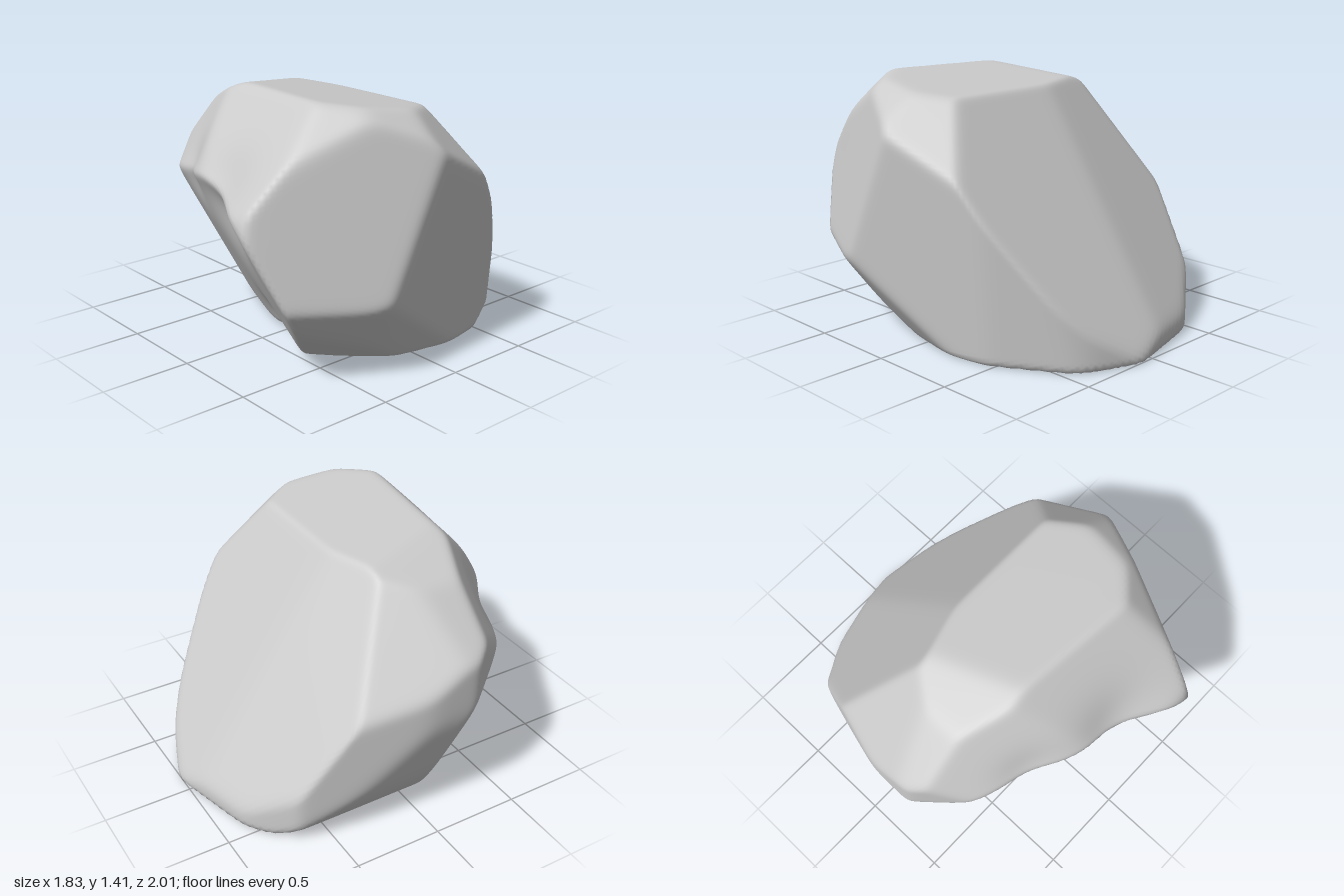
import * as THREE from 'three';
import { mergeVertices } from 'three/addons/utils/BufferGeometryUtils.js';

// Each facet plane of the boulder: outward normal x, y, z and offset
const topFacets = [
  [0, 1, -0.13, 1.354],          // top
  [-0.12, 1, 1, 1.866],          // front upper bevel
  [-0.47, 0.5, 0.725, 1.165],    // front shoulder on the -x side
  [-0.7, 0.71, 0, 1.315],        // upper bevel on the -x side
  [-0.35, 0.93, 0, 1.385],       // top shoulder on the -x side
  [-0.705, 0.594, -0.386, 1.13], // back shoulder on the -x side
  [0.6, 0.8, 0, 1.515],          // upper bevel on the +x side
  [0.5, 0.7, 0.5, 1.485],        // front shoulder on the +x side
  [0.576, 0.662, -0.47, 1.285],  // back shoulder on the +x side
  [0, 0.558, -0.83, 0.864],      // long back slope
  [-0.22, 0.558, -0.83, 0.886],  // back slope, turning to -x
];
const sideFacets = [
  [-0.35, -0.5, 0.9, 0.32],      // front undercut
  [0.1, 0.2, 0.97, 1.2],         // front tip
  [-1, 0, 0, 0.92],              // -x side
  [-0.95, 0, -0.3, 0.875],       // -x side, back
  [-0.8, 0, 0.6, 0.9],           // -x side, front
  [-0.62, -0.42, 0.66, 0.465],   // -x side, front undercut
  [0.89, 0.19, 0.41, 1.052],     // +x side, front
  [0.96, -0.1, -0.2, 0.758],     // +x side
  [0.85, -0.1, -0.52, 0.835],    // +x side, back
  [0.6, 0, -0.8, 0.96],          // back edges
  [0.35, 0, -0.94, 0.993],
  [-0.25, 0, -0.97, 0.965],
  [-0.6, 0, -0.8, 0.968],
];
const baseFacets = [
  [0, -1, 0, 0],                 // base
  [-0.954, -0.3, 0, 0.69],       // lower bevels on the -x side
  [-0.845, -0.534, 0, 0.55],
  [-0.5, -0.866, 0, 0.285],
  [0.7, -0.6, 0.385, 0.545],     // lower bevels on the +x side
  [0.45, -0.8, 0.4, 0.345],
  [0.82, -0.55, 0.15, 0.565],
];

// Worn hollows: centre, push and radius
const hollows = [
  { at: new THREE.Vector3(0.1, 0.9, 0.88), push: new THREE.Vector3(0, -0.01, -0.09), radius: 0.27 },
  { at: new THREE.Vector3(-0.4, 0.93, 0.7), push: new THREE.Vector3(0.01, 0, -0.04), radius: 0.18 },
  { at: new THREE.Vector3(0.12, 0.04, 0.4), push: new THREE.Vector3(0, 0.05, -0.03), radius: 0.2 },
];

const SHARPNESS = 80;
const centre = new THREE.Vector3(0, 0.65, 0);

function createBoulderGeometry() {
  const source = new THREE.IcosahedronGeometry(1, 50);
  source.deleteAttribute('normal');
  source.deleteAttribute('uv');
  const geometry = mergeVertices(source, 1e-5);
  const position = geometry.attributes.position;

  const facets = [...topFacets, ...sideFacets, ...baseFacets].map(([x, y, z, offset]) => {
    const normal = new THREE.Vector3(x, y, z);
    return normal.divideScalar(offset - normal.dot(centre));
  });

  // Push a sphere out to the facets, blending softly where they meet
  const p = new THREE.Vector3();
  for (let i = 0; i < position.count; i++) {
    p.fromBufferAttribute(position, i).normalize();
    let sum = 0;
    for (const facet of facets) sum += Math.max(0, facet.dot(p)) ** SHARPNESS;
    p.multiplyScalar(sum ** (-1 / SHARPNESS)).add(centre);
    for (const { at, push, radius } of hollows) {
      p.addScaledVector(push, Math.exp(-p.distanceToSquared(at) / (radius * radius)));
    }
    position.setXYZ(i, p.x, p.y, p.z);
  }
  geometry.computeVertexNormals();
  return geometry;
}

export function createModel() {
  const model = new THREE.Group();
  model.name = 'rock';
  const boulder = new THREE.Mesh(
    createBoulderGeometry(),
    new THREE.MeshStandardMaterial({ color: 0xcccccc })
  );
  boulder.name = 'boulder';
  model.add(boulder);
  return model;
}
